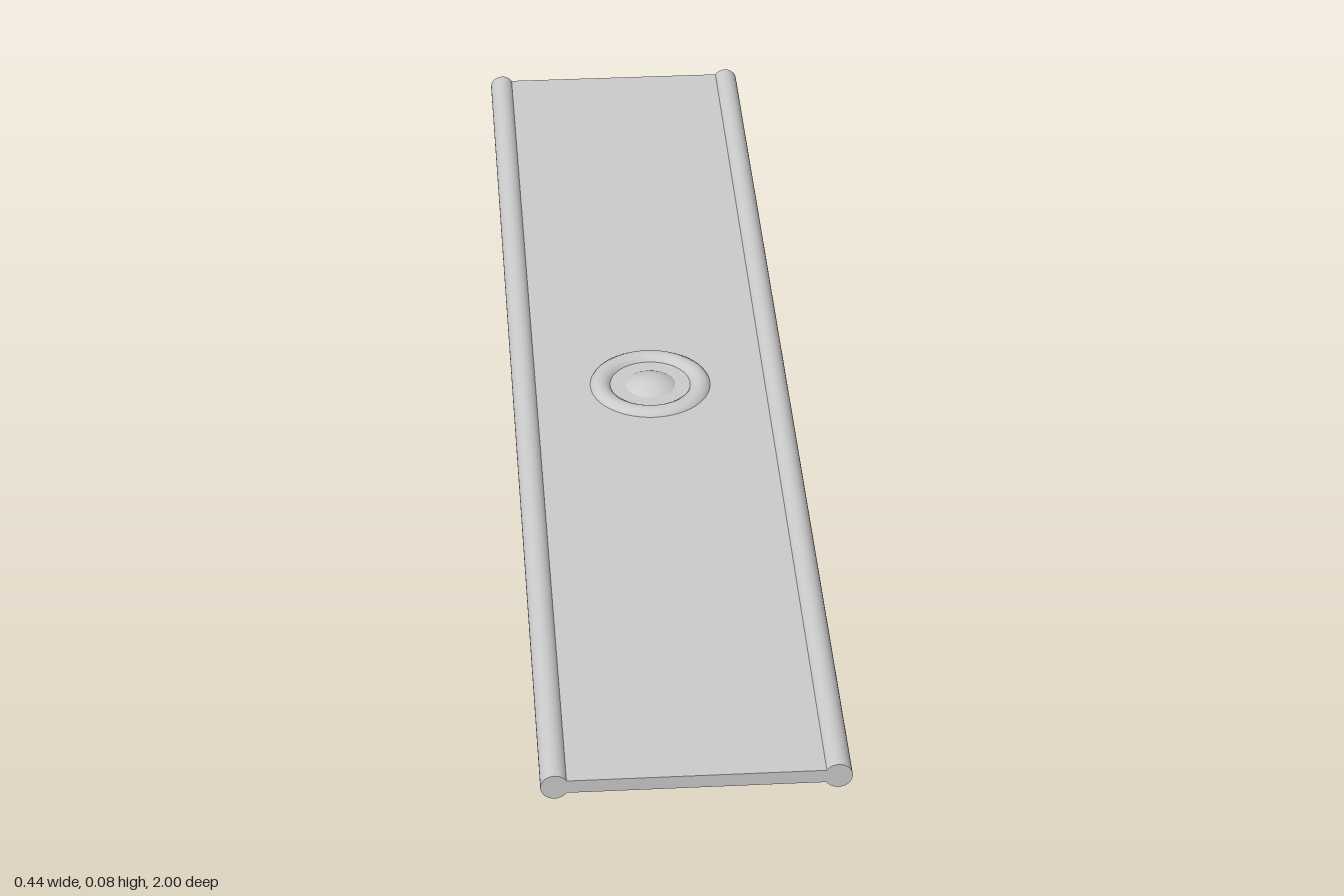
import * as THREE from 'three';

export function createModel() {
  const group = new THREE.Group();
  const material = new THREE.MeshStandardMaterial({ color: 0xcccccc });
  const midY = 0.057;

  const add = (name, geometry, x = 0, y = midY) => {
    const mesh = new THREE.Mesh(geometry, material);
    mesh.name = name;
    mesh.position.set(x, y, 0);
    group.add(mesh);
    return mesh;
  };

  // Shallow spherical cap, base at y = 0
  const capGeometry = (radius, height) => {
    const R = (radius * radius + height * height) / (2 * height);
    const geometry = new THREE.SphereGeometry(R, 32, 8, 0, Math.PI * 2, 0, Math.asin(radius / R));
    return geometry.translate(0, height - R, 0);
  };

  // Flat deck
  add('deck', new THREE.BoxGeometry(0.4, 0.021, 2));

  // Round rails along both long edges
  for (const side of [-1, 1]) {
    const rail = new THREE.CylinderGeometry(0.02, 0.02, 2, 32).rotateX(Math.PI / 2);
    add(side > 0 ? 'leftRail' : 'rightRail', rail, side * 0.2);
  }

  // Ring around the centre, standing proud of both faces
  add('ring', new THREE.TorusGeometry(0.08, 0.0195, 16, 48).rotateX(Math.PI / 2));

  // Domed button on top
  add('topDome', capGeometry(0.04, 0.0125), 0, 0.0675);

  // Stub underneath with a domed end
  add('stub', new THREE.CylinderGeometry(0.04, 0.04, 0.039, 32, 1, true), 0, 0.0305);
  add('stubDome', capGeometry(0.04, 0.011).rotateX(Math.PI), 0, 0.011);

  return group;
}
